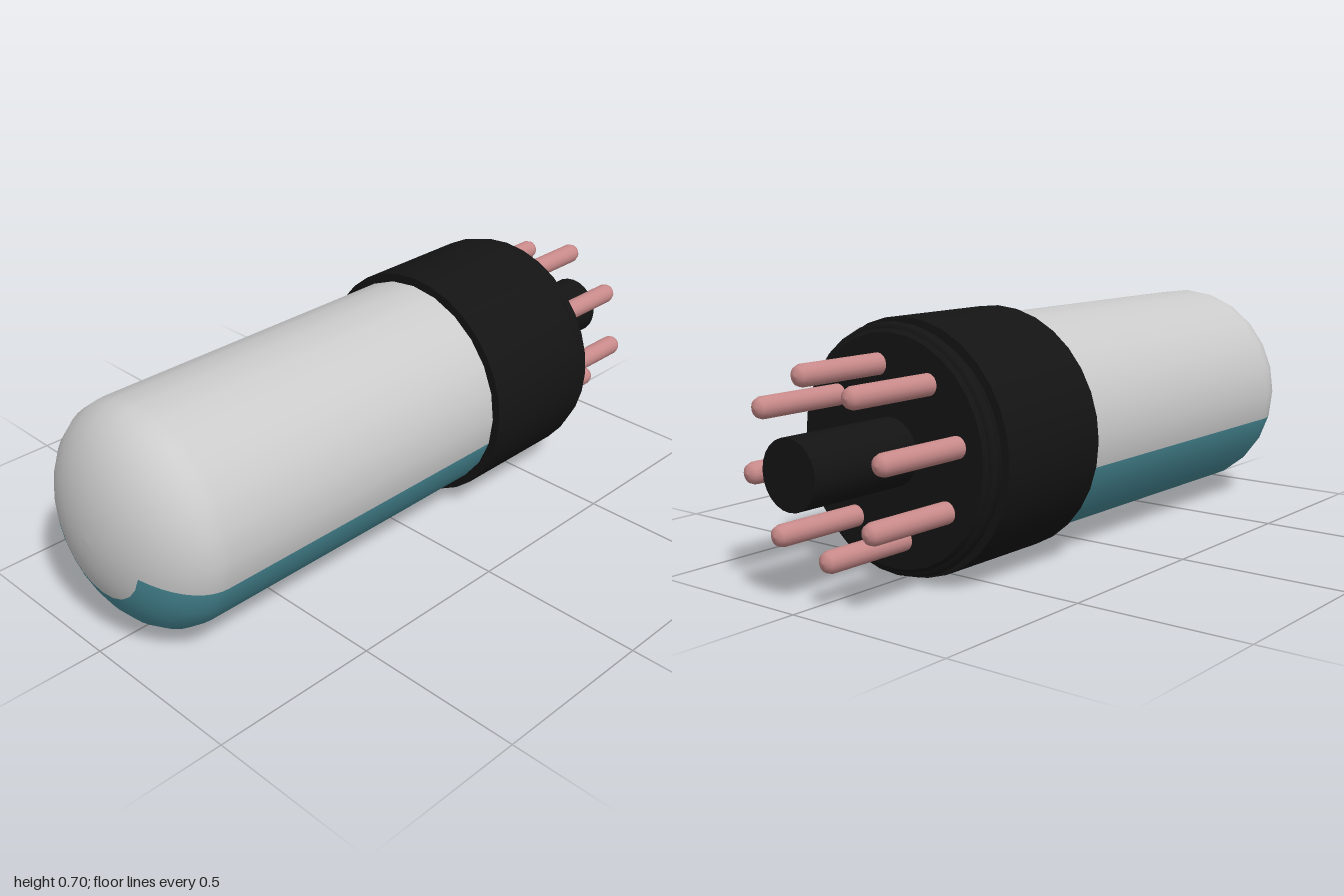
import * as THREE from 'three';
import { toCreasedNormals } from 'three/addons/utils/BufferGeometryUtils.js';

const AXIS_Y = 0.353;
const mat = (color) => new THREE.MeshStandardMaterial({ color });

export function createModel() {
  const group = new THREE.Group();
  const grey = mat(0xcccccc), teal = mat(0x488a97), black = mat(0x141414), pink = mat(0xc98a8a);

  // Lathe profiles are [radius, z]; the lathe axis is laid along +z.
  const turned = (points, segments) =>
    new THREE.LatheGeometry(points.map(([r, z]) => new THREE.Vector2(r, z)), segments).rotateX(Math.PI / 2);

  const add = (name, geometry, material, x = 0, y = 0, z = 0) => {
    const mesh = new THREE.Mesh(geometry, material);
    mesh.name = name;
    mesh.position.set(x, AXIS_Y + y, z);
    group.add(mesh);
    return mesh;
  };

  // Keeps only the triangles whose centre passes the test (normals stay shared).
  const keepFaces = (geometry, test) => {
    const g = geometry.clone(), p = g.attributes.position, idx = g.index.array, kept = [];
    const c = new THREE.Vector3(), v = new THREE.Vector3();
    for (let i = 0; i < idx.length; i += 3) {
      c.set(0, 0, 0);
      for (let k = 0; k < 3; k++) c.add(v.fromBufferAttribute(p, idx[i + k]));
      if (test(c.divideScalar(3))) kept.push(idx[i], idx[i + 1], idx[i + 2]);
    }
    g.setIndex(kept);
    return g;
  };

  // Glass envelope: straight tube with an elliptical dome, coloured along its underside
  const profile = [[0.325, -0.3], [0.325, 0.3], [0.325, 0.8]];
  const steps = 14;
  for (let i = 1; i <= steps; i++) {
    const a = (i / steps) * Math.PI / 2;
    profile.push([i === steps ? 0 : 0.325 * Math.cos(a), 0.8 + 0.2 * Math.sin(a)]);
  }
  const glass = turned(profile, 24);
  const isTinted = (c) => {
    const r = Math.hypot(c.x, c.y);
    return r > 0.18 && -c.y / r > Math.cos(Math.PI * 75 / 180);
  };
  add('glassEnvelope', keepFaces(glass, (c) => !isTinted(c)), grey);
  add('tintedGlass', keepFaces(glass, isTinted), teal);

  // Base collar with its stepped rear plate
  const collar = turned([
    [0, -0.645], [0.315, -0.645], [0.325, -0.635], [0.325, -0.585],
    [0.35, -0.585], [0.35, -0.2], [0.3, -0.2],
  ], 32);
  add('baseCollar', toCreasedNormals(collar, 0.6), black);
  add('baseRing', new THREE.TorusGeometry(0.323, 0.018, 10, 32), black, 0, 0, -0.617);

  // Central locating post
  const post = turned([[0, -1], [0.093, -1], [0.093, -0.63]], 24);
  add('centrePost', toCreasedNormals(post, 0.6), black);

  // Ring of eight round-ended contact pins
  const pin = turned([
    [0, -0.935], [0.014, -0.932], [0.025, -0.924], [0.03, -0.91], [0.03, -0.8], [0.03, -0.63],
  ], 16);
  for (let i = 0; i < 8; i++) {
    const a = (10 + i * 45) * Math.PI / 180;
    add('contactPin' + (i + 1), pin, pink, 0.233 * Math.sin(a), 0.233 * Math.cos(a));
  }
  return group;
}
